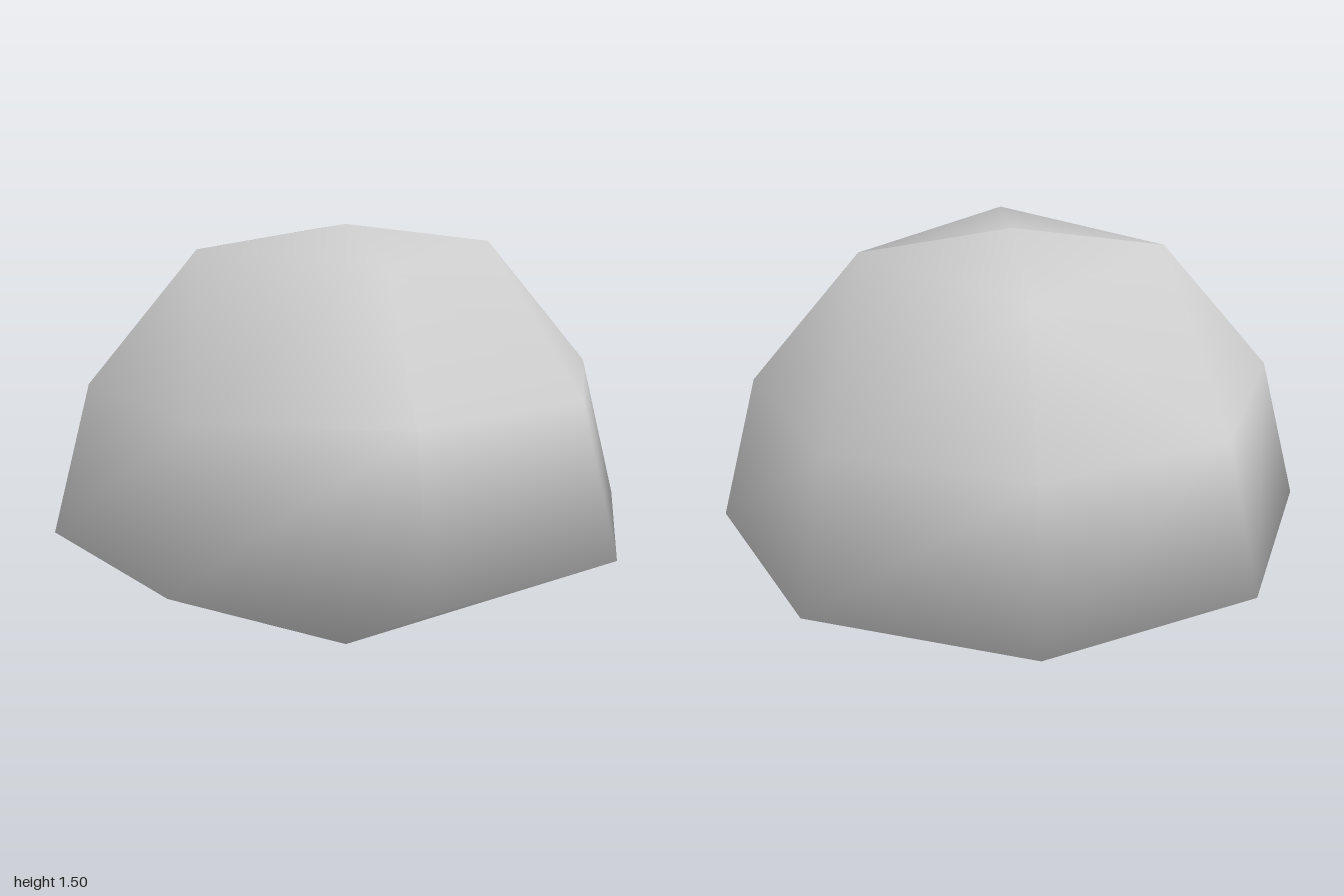
import * as THREE from 'three';

// One half of the faceted dome with its pointed underside: rings of points swept over 180 degrees
function halfDomeGeometry() {
  const pos = [], idx = [];
  const addRing = (radius, y, steps) => {
    const start = pos.length / 3;
    for (let i = 0; i <= steps; i++) {
      const a = (i / steps) * Math.PI;
      pos.push(radius * Math.cos(a), y, radius * Math.sin(a));
    }
    return (i) => start + i;
  };
  const tip = addRing(0, 1.5, 0.5)(0);
  const crown = addRing(0.5, 1.43, 2);
  const shoulder = addRing(0.866, 1.0, 4);
  const rim = addRing(1, 0.5, 4);
  const base = addRing(0, 0, 0.5)(0);

  // Cap, and the step from the coarse crown to the finer shoulder
  for (let q = 0; q < 2; q++) {
    const s = 2 * q;
    idx.push(tip, crown(q + 1), crown(q));
    idx.push(crown(q), crown(q + 1), shoulder(s + 1));
    idx.push(crown(q), shoulder(s + 1), shoulder(s));
    idx.push(crown(q + 1), shoulder(s + 2), shoulder(s + 1));
  }
  // Side wall and pointed underside
  for (let i = 0; i < 4; i++) {
    idx.push(shoulder(i), shoulder(i + 1), rim(i + 1));
    idx.push(shoulder(i), rim(i + 1), rim(i));
    idx.push(rim(i), rim(i + 1), base);
  }
  const geo = new THREE.BufferGeometry();
  geo.setAttribute('position', new THREE.Float32BufferAttribute(pos, 3));
  geo.setIndex(idx);
  geo.computeVertexNormals();
  return geo;
}

export function createModel() {
  const group = new THREE.Group();
  group.name = 'facetedDome';
  const material = new THREE.MeshStandardMaterial({ color: 0xcccccc });
  const geo = halfDomeGeometry();

  // Two identical halves meeting in a crease at z = 0
  ['frontHalf', 'backHalf'].forEach((name, i) => {
    const half = new THREE.Mesh(geo, material);
    half.name = name;
    half.rotation.y = i * Math.PI;
    group.add(half);
  });
  return group;
}
